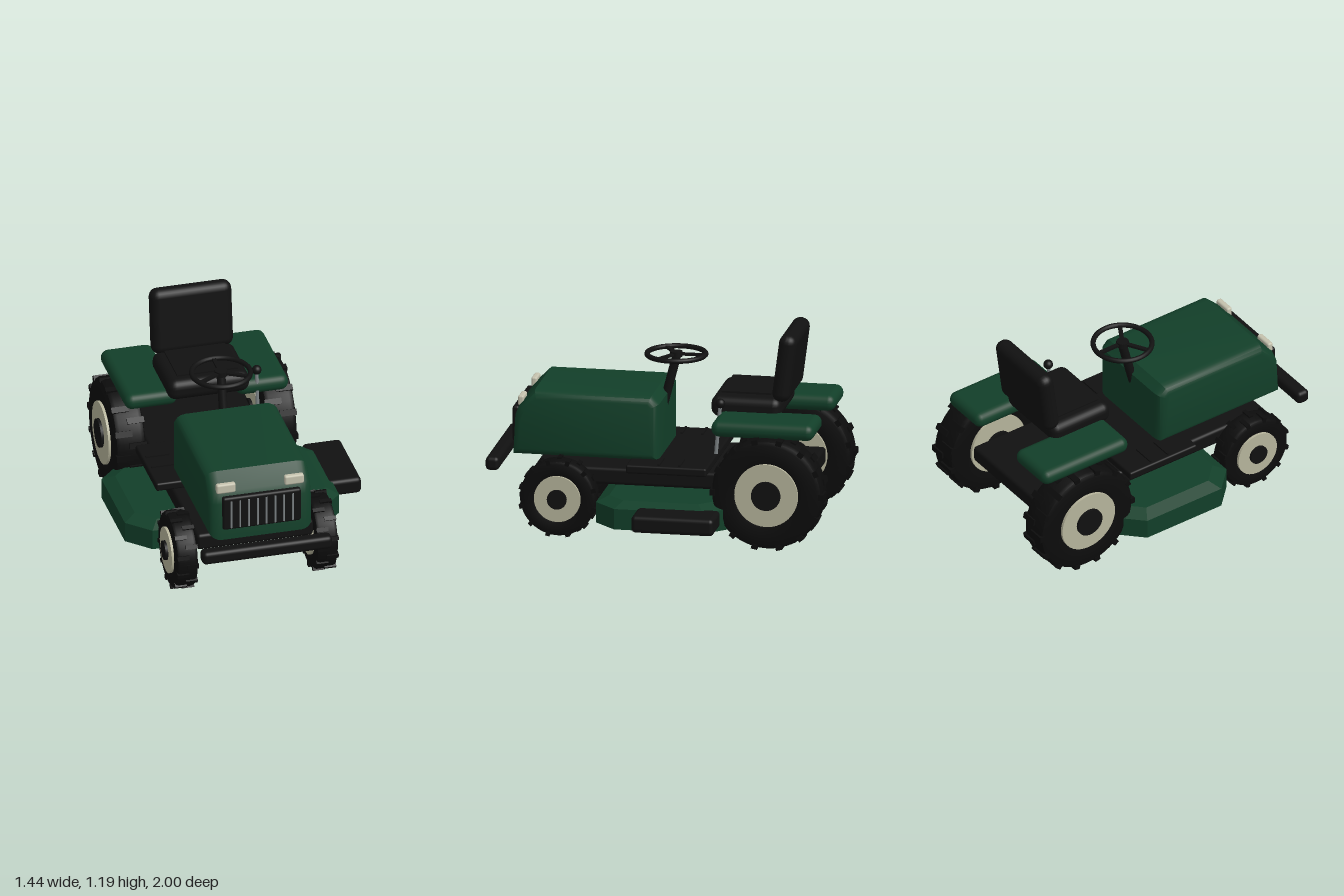
import * as THREE from 'three';
import { toCreasedNormals } from 'three/addons/utils/BufferGeometryUtils.js';
import { RoundedBoxGeometry } from 'three/addons/geometries/RoundedBoxGeometry.js';
import { ConvexGeometry } from 'three/addons/geometries/ConvexGeometry.js';

const paint = (name, color) => {
  const m = new THREE.MeshStandardMaterial({ color });
  m.name = name;
  return m;
};

export function createModel() {
  const green = paint('green paint', 0x123f29);
  const black = paint('black plastic', 0x111111);
  const rubber = paint('tyre rubber', 0x0c0c0c);
  const cream = paint('cream rim', 0xb6b49b);
  const lamp = paint('headlight', 0xc4c1ad);
  const steel = paint('steel', 0x7c8284);
  const darkSteel = paint('dark steel', 0x3c3e40);

  const model = new THREE.Group();
  model.name = 'ridingMower';
  // the tractor's centreline sits left of the origin because of the side chute
  const body = new THREE.Group();
  body.name = 'tractor';
  body.position.x = -0.085;
  model.add(body);

  const add = (name, geo, mat, x = 0, y = 0, z = 0, parent = body) => {
    const mesh = new THREE.Mesh(geo, mat);
    mesh.name = name;
    mesh.position.set(x, y, z);
    parent.add(mesh);
    return mesh;
  };
  const rbox = (w, h, d, r) => new RoundedBoxGeometry(w, h, d, 3, r);
  const box = (w, h, d) => new THREE.BoxGeometry(w, h, d);
  // cylinder between two points
  const rod = (name, a, b, r, mat) => {
    const from = new THREE.Vector3(...a), dir = new THREE.Vector3(...b).sub(from);
    const mesh = add(name, new THREE.CylinderGeometry(r, r, dir.length(), 16), mat);
    mesh.position.copy(from).addScaledVector(dir, 0.5);
    mesh.quaternion.setFromUnitVectors(new THREE.Vector3(0, 1, 0), dir.normalize());
    return mesh;
  };

  // hood: side profile with bevelled flanks
  const hoodShape = new THREE.Shape([
    [0.05, 0.475], [0.815, 0.475], [0.805, 0.65], [0.785, 0.7], [0.715, 0.77], [0.07, 0.77], [0.05, 0.75],
  ].map(p => new THREE.Vector2(...p)));
  const hood = new THREE.ExtrudeGeometry(hoodShape, {
    depth: 0.47, bevelEnabled: true, bevelThickness: 0.07, bevelSize: 0.045, bevelSegments: 4,
  });
  hood.translate(0, 0, -0.235).rotateY(-Math.PI / 2);
  add('hood', toCreasedNormals(hood, 0.6), green);

  // grille, bars and headlights
  add('grille', rbox(0.465, 0.21, 0.04, 0.015), black, 0, 0.6, 0.85);
  for (let i = 0; i < 8; i++) {
    add('grilleBar', new THREE.CylinderGeometry(0.006, 0.006, 0.175, 10), steel, -0.182 + i * 0.052, 0.595, 0.868);
  }
  for (const s of [-1, 1]) add('headlight', rbox(0.115, 0.06, 0.035, 0.012), lamp, s * 0.202, 0.745, 0.815);

  // frame, footboard and bumper
  add('chassis', rbox(0.69, 0.1, 1.57, 0.02), black, 0, 0.347, -0.065);
  add('footboard', rbox(0.88, 0.05, 0.47, 0.012), black, 0, 0.42, -0.065);
  for (const s of [-1, 1]) {
    for (const z of [-0.14, -0.02]) add('footGrip', box(0.14, 0.012, 0.012), black, s * 0.35, 0.449, z);
  }
  add('bumper', rbox(0.77, 0.08, 0.08, 0.025), black, 0, 0.395, 0.96);

  // wheels: tyre, tread lugs, rim and hub cap
  const wheel = (name, side, x, y, z, R, width, rimR, capR, lugs) => {
    const g = new THREE.Group();
    g.name = name;
    g.position.set(side * x, y, z);
    g.rotation.z = -side * Math.PI / 2;
    body.add(g);
    const h = width / 2, c = R * 0.09;
    const half = [[rimR * 0.95, h - 0.008], [rimR * 1.08, h], [R - c, h], [R - c * 0.3, h - c * 0.3], [R, h - c]];
    const profile = [...half.map(([r, t]) => [r, -t]), ...half.reverse()].map(p => new THREE.Vector2(...p));
    add('tyre', toCreasedNormals(new THREE.LatheGeometry(profile, 48), 0.6), rubber, 0, 0, 0, g);
    for (let i = 0; i < lugs; i++) {
      const a = i / lugs * Math.PI * 2, s = i % 2 ? 1 : -1;
      const lug = add('treadLug', box(0.03, width * 0.56, R * 0.11), rubber,
        Math.cos(a) * (R - 0.006), s * width * 0.22, Math.sin(a) * (R - 0.006), g);
      lug.rotation.y = -a;
    }
    add('rim', new THREE.CylinderGeometry(rimR, rimR, width + 0.022, 40), cream, 0, 0, 0, g);
    add('hubCap', new THREE.CylinderGeometry(capR, capR, width + 0.054, 28), black, 0, 0, 0, g);
  };
  for (const s of [-1, 1]) {
    wheel('rearWheel', s, 0.4475, 0.335, -0.67, 0.322, 0.18, 0.185, 0.085, 28);
    wheel('frontWheel', s, 0.415, 0.235, 0.56, 0.222, 0.125, 0.135, 0.057, 24);
    // rear fenders
    add('fender', rbox(0.31, 0.095, 0.6, 0.045), green, s * 0.33, 0.693, -0.632);
  }

  // mower deck: clipped rectangle with a sloping shoulder
  const ring = (y, inset) => {
    const X = 0.635 - inset, f = 0.33 - inset, b = -0.45 + inset, c = 0.13 - inset * 0.4;
    return [[X, f - c], [X - c, f], [c - X, f], [-X, f - c], [-X, b + c], [c - X, b], [X - c, b], [X, b + c]]
      .map(([x, z]) => new THREE.Vector3(x, y, z));
  };
  add('mowerDeck', new ConvexGeometry([...ring(0.115, 0), ...ring(0.236, 0), ...ring(0.27, 0.07)]), green);
  add('dischargeChute', rbox(0.23, 0.1, 0.48, 0.025), black, 0.69, 0.195, -0.17);
  for (const s of [-1, 1]) {
    add('blade', box(0.52, 0.01, 0.045), darkSteel, s * 0.287, 0.097, -0.03);
    rod('bladeSpindle', [s * 0.287, 0.095, -0.03], [s * 0.287, 0.12, -0.03], 0.015, darkSteel);
  }

  // seat
  add('seatCushion', rbox(0.485, 0.125, 0.41, 0.05), black, 0, 0.76, -0.49);
  add('seatPad', box(0.36, 0.01, 0.29), black, 0, 0.838, -0.485);
  const back = add('seatBack', rbox(0.485, 0.4, 0.105, 0.05), black, 0, 1.0, -0.712);
  back.rotation.x = -0.13;

  // steering column and wheel
  rod('steeringColumn', [0, 0.68, 0.035], [0, 0.99, -0.045], 0.026, black);
  const steering = new THREE.Group();
  steering.name = 'steeringWheel';
  steering.position.set(0, 1.0, -0.043);
  body.add(steering);
  add('steeringRim', new THREE.TorusGeometry(0.169, 0.015, 12, 40).rotateX(Math.PI / 2), black, 0, 0, 0, steering);
  add('steeringHub', new THREE.CylinderGeometry(0.036, 0.036, 0.03, 20), black, 0, 0, 0, steering);
  for (let i = 0; i < 3; i++) {
    const spoke = add('steeringSpoke', box(0.16, 0.014, 0.024).translate(0.085, 0, 0), black, 0, 0, 0, steering);
    spoke.rotation.y = i * Math.PI * 2 / 3 + Math.PI / 2;
  }

  // control lever
  rod('lever', [0.295, 0.5, -0.33], [0.295, 0.79, -0.355], 0.011, steel);
  add('leverKnob', new THREE.SphereGeometry(0.028, 20, 14), black, 0.295, 0.8, -0.356);

  return model;
}
